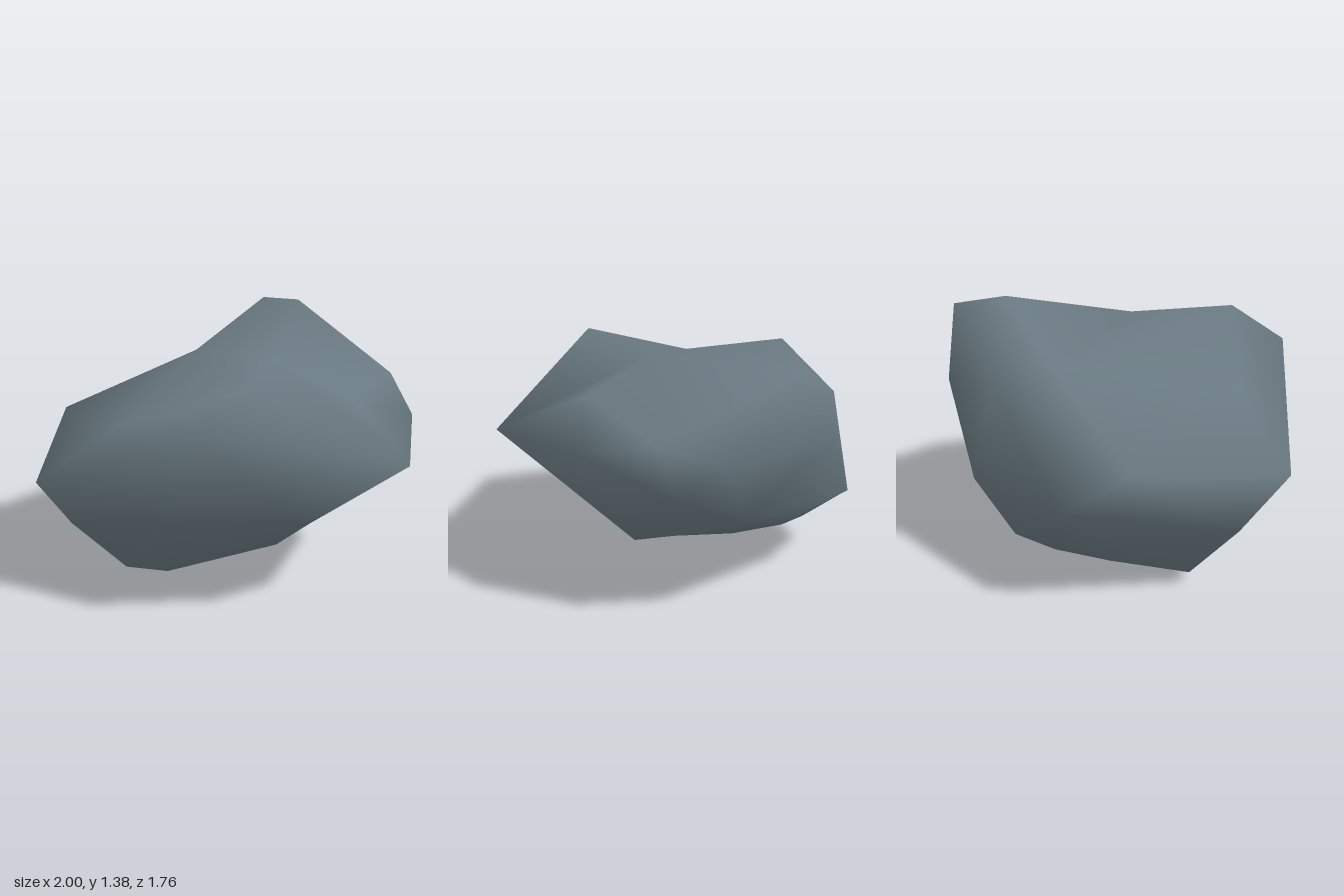
import * as THREE from 'three';
import { ConvexGeometry } from 'three/addons/geometries/ConvexGeometry.js';
import { mergeVertices } from 'three/addons/utils/BufferGeometryUtils.js';

// Boulder corners, grouped by region
const corners = [
  // top: saddle, front ridge, rear peak and shoulders
  [0.22, 1.23, 0.06], [-0.4, 1.1, -0.28],
  [0.28, 1.26, 0.61], [-0.08, 1.385, -0.57], [0.03, 1.31, -0.87], [-0.45, 1.05, -0.58],
  [0.64, 1.08, 0.06], [-0.36, 1.01, 0.62],
  // rim
  [0.14, 1.12, 0.88], [-0.73, 0.73, 0.86], [-1, 0.83, 0.14], [1, 0.9, 0.345], [0.88, 0.92, -0.26], [0.68, 1.02, -0.59],
  // front belly
  [0, 0.66, 0.85], [0.54, 0.6, 0.55],
  // back
  [-0.15, 0.95, -0.88], [0.41, 0.9, -0.79], [0.6, 0.75, -0.63], [0.27, 0.56, -0.71], [-0.47, 0.53, -0.7], [-0.89, 0.57, -0.21],
  // underside
  [-0.72, 0.36, -0.45], [-0.57, 0.19, -0.28], [-0.27, 0.28, -0.42], [-0.5, 0.09, 0], [-0.69, 0.4, 0.64], [-0.51, 0.045, 0.41],
  [-0.31, 0, 0.3], [-0.3, 0.035, 0.03], [0.25, 0.17, 0.07], [0.4, 0.27, -0.05], [0.6, 0.405, -0.28],
].map((p) => new THREE.Vector3(...p));
const saddleCount = 2; // the first corners form the hollow of the saddle

// Skin the corners: find the faces on a rounded copy with the hollow pushed out,
// then move each vertex back to its corner
function skin(points, centre, roundness) {
  const rounded = points.map((p, i) => {
    const d = p.clone().sub(centre);
    return d.setLength(Math.pow(d.length(), roundness) * (i < saddleCount ? 1.12 : 1));
  });
  const geometry = new ConvexGeometry(rounded);
  const pos = geometry.attributes.position;
  const v = new THREE.Vector3();
  for (let i = 0; i < pos.count; i++) {
    v.fromBufferAttribute(pos, i);
    let best = 0;
    rounded.forEach((r, k) => {
      if (r.distanceToSquared(v) < rounded[best].distanceToSquared(v)) best = k;
    });
    pos.setXYZ(i, ...points[best].toArray());
  }
  geometry.deleteAttribute('normal');
  const smooth = mergeVertices(geometry, 1e-4);
  smooth.computeVertexNormals();
  return smooth;
}

export function createModel() {
  const group = new THREE.Group();
  group.name = 'rock';
  const stone = new THREE.MeshStandardMaterial({ color: 0x6a7a82 });
  stone.name = 'slate grey stone';
  const boulder = new THREE.Mesh(skin(corners, new THREE.Vector3(-0.05, 0.7, 0), 0.68), stone);
  boulder.name = 'boulder';
  group.add(boulder);
  return group;
}
